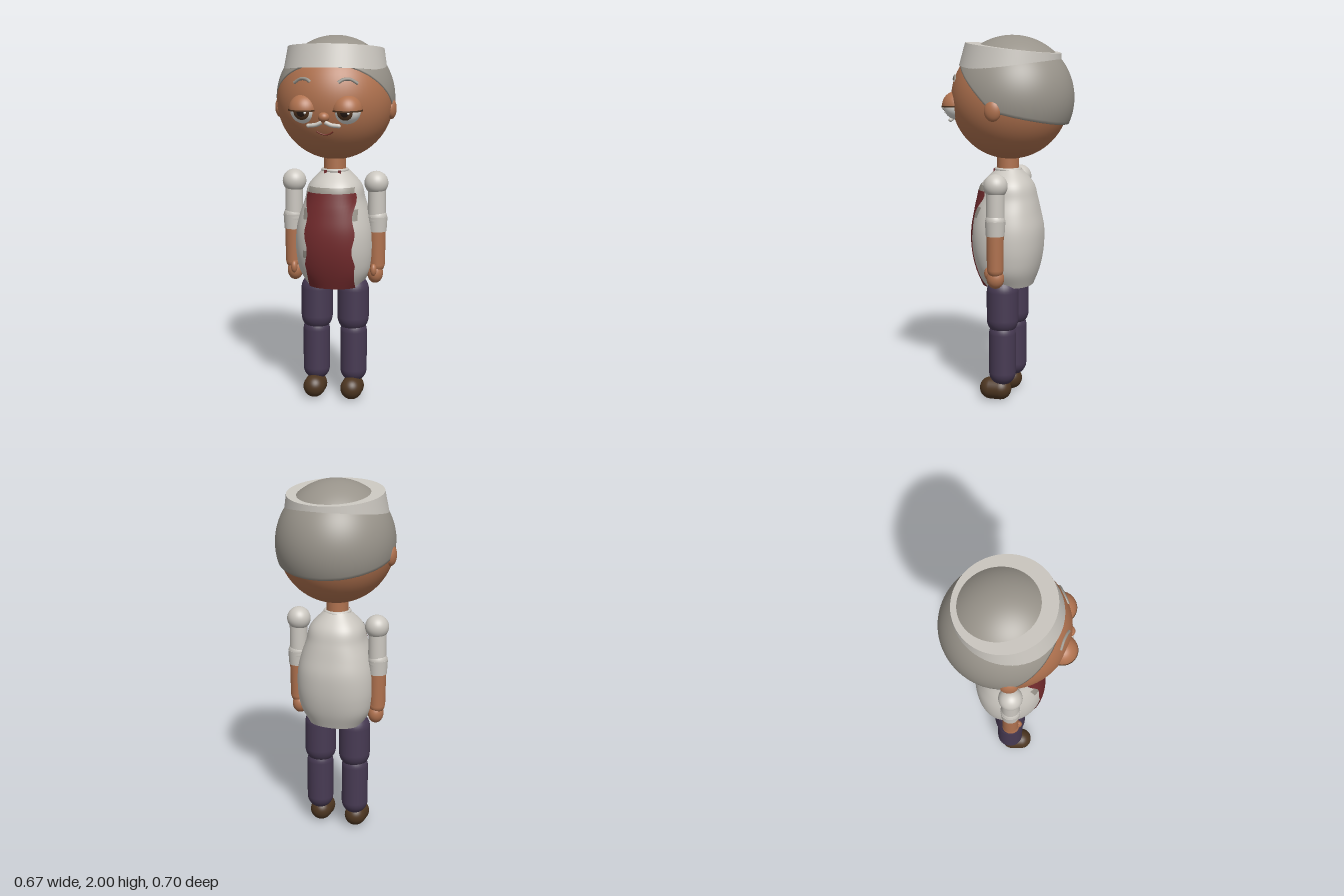
import * as THREE from 'three';
import { mergeVertices } from 'three/addons/utils/BufferGeometryUtils.js';

const mat = (name, color, side = THREE.FrontSide) => {
  const m = new THREE.MeshStandardMaterial({ color, side });
  m.name = name;
  return m;
};

// Smooth surface from a rule f(u, v): u runs to the right, v runs downward
function surface(nu, nv, f) {
  const pos = [], idx = [];
  for (let j = 0; j <= nv; j++)
    for (let i = 0; i <= nu; i++) pos.push(...f(i / nu, j / nv));
  for (let j = 0; j < nv; j++)
    for (let i = 0; i < nu; i++) {
      const a = j * (nu + 1) + i, b = a + nu + 1;
      idx.push(a, b, a + 1, b, b + 1, a + 1);
    }
  let g = new THREE.BufferGeometry();
  g.setAttribute('position', new THREE.Float32BufferAttribute(pos, 3));
  g.setIndex(idx);
  g = mergeVertices(g, 1e-5);
  g.computeVertexNormals();
  return g;
}

// Torso cross-sections from y 1.28 down to 0.64: half width, front depth, back depth
const torsoRows = new THREE.CatmullRomCurve3([
  [0.07, 0.075, 0.06], [0.142, 0.152, 0.125], [0.163, 0.175, 0.148],
  [0.191, 0.19, 0.165], [0.21, 0.202, 0.18], [0.216, 0.203, 0.181],
  [0.212, 0.193, 0.173], [0.195, 0.172, 0.155], [0.15, 0.142, 0.125],
].map(p => new THREE.Vector3(...p)), false, 'catmullrom');
const torsoAt = y => torsoRows.getPoint((1.28 - y) / 0.64);
const POW = 2.3;

function torsoPoint(u, v) {
  const y = 1.28 - 0.64 * v, s = torsoAt(y), a = (u * 2 - 1) * Math.PI;
  const r = c => Math.sign(c) * Math.abs(c) ** (2 / POW);
  const c = r(Math.cos(a));
  return [s.x * r(Math.sin(a)), y, c * (c > 0 ? s.y : s.z)];
}

// Thin panel that follows the front of the torso
function torsoPatch(y1, y0, left, right, off) {
  return surface(16, 24, (u, v) => {
    const y = y1 + (y0 - y1) * v, s = torsoAt(y);
    const x = left(y) + (right(y) - left(y)) * u;
    const k = Math.max(0, 1 - Math.abs(x / s.x) ** POW);
    return [x, y, s.y * k ** (1 / POW) + off];
  });
}

// Depth of the face at a given x, y
const faceZ = (x, y) =>
  0.32 * Math.sqrt(Math.max(0, 1 - (x / 0.315) ** 2 - ((y - 1.66) / 0.325) ** 2));

// Hair shell, trimmed along a slanted hairline
function hairGeometry() {
  const hairline = z => Math.max(1.6 + z, 1.605 + 0.24 * z);
  const at = (t, a, k) => [
    0.32 * k * Math.sin(t) * Math.sin(a),
    1.665 + 0.335 * k * Math.cos(t),
    -0.013 + 0.335 * k * Math.sin(t) * Math.cos(a),
  ];
  const N = 40;
  return surface(96, N, (u, v) => {
    const a = (u * 2 - 1) * Math.PI;
    let end = 0.2;
    for (; end < 2.6; end += 0.004) {
      const p = at(end, a, 1);
      if (p[1] < hairline(p[2])) break;
    }
    const rim = v > 1 - 0.5 / N;
    return at(end * Math.min(1, v * N / (N - 1)), a, rim ? 0.95 : 1);
  });
}

export function createModel() {
  const white = mat('offWhite', 0xcbc7c0);
  const grey = mat('hairGrey', 0x98938a, THREE.DoubleSide);
  const skin = mat('skin', 0xb0724f);
  const red = mat('apronRed', 0x732b2d, THREE.DoubleSide);
  const purple = mat('trouserPurple', 0x473a53);
  const brown = mat('shoeBrown', 0x4d3621);
  const eyeWhite = mat('eyeWhite', 0xdddcd8);
  const iris = mat('irisBrown', 0x50341f);
  const dark = mat('pupilDark', 0x241812);
  const lip = mat('lipRed', 0x7a3328);

  const model = new THREE.Group();
  const add = (name, geo, m, x = 0, y = 0, z = 0, parent = model) => {
    const mesh = new THREE.Mesh(geo, m);
    mesh.name = name;
    mesh.position.set(x, y, z);
    parent.add(mesh);
    return mesh;
  };
  const ball = (r, sx = 1, sy = 1, sz = 1) =>
    new THREE.SphereGeometry(r, 32, 24).scale(sx, sy, sz);
  const tube = (pts, r) => new THREE.TubeGeometry(
    new THREE.CatmullRomCurve3(pts.map(p => new THREE.Vector3(...p))), 20, r, 8);
  const capsule = (r, y0, y1) =>
    new THREE.CapsuleGeometry(r, y1 - y0 - 2 * r, 10, 32).translate(0, (y0 + y1) / 2, 0);

  // Head, hair and tilted cap
  add('head', new THREE.SphereGeometry(1, 64, 48).scale(0.315, 0.325, 0.32), skin, 0, 1.66, 0);
  add('hair', hairGeometry(), grey);
  const cap = add('cap', new THREE.CylinderGeometry(0.26, 0.28, 0.125, 64), white, 0, 1.87, -0.01);
  cap.rotation.x = -0.115;
  add('nose', ball(0.03, 1, 0.9, 1), skin, 0, 1.587, 0.308);
  add('mouth', tube([-0.045, -0.025, 0, 0.025, 0.045].map(x => {
    const y = 1.493 + 9 * x * x;
    return [x, y, faceZ(x, y)];
  }), 0.004), lip);

  // Neck, collar, torso
  add('neck', new THREE.CylinderGeometry(0.06, 0.06, 0.12, 32), skin, 0, 1.31, 0.012);
  add('collar', new THREE.TorusGeometry(0.066, 0.01, 10, 40).rotateX(Math.PI / 2), white, 0, 1.277, 0.012);
  add('shirt', surface(72, 48, torsoPoint), white);
  add('shirtTop', new THREE.CircleGeometry(0.07, 32).rotateX(-Math.PI / 2), white, 0, 1.279, 0.006);
  const hem = new THREE.Shape(Array.from({ length: 48 }, (_, i) => {
    const p = torsoPoint(i / 48, 1);
    return new THREE.Vector2(p[0], p[2]);
  }));
  add('shirtUnderside', new THREE.ShapeGeometry(hem).rotateX(Math.PI / 2), white, 0, 0.641, 0);

  // Apron with worn grey border
  const edge = y => 0.13 + 0.008 * Math.cos((y - 1.13) * 34) * (y > 0.75 ? 1 : 0.3);
  add('apron', torsoPatch(1.165, 0.638, y => -edge(y), edge, 0.006), red);
  add('apronTopBorder', torsoPatch(1.195, 1.163, () => -0.125, () => 0.125, 0.004), grey);
  for (const [s, y1, y0] of [[-1, 1.08, 1.02], [1, 1.08, 1.02], [-1, 0.85, 0.81]]) {
    const inner = () => s * 0.12, outer = () => s * 0.148;
    add('apronSideBorder', torsoPatch(y1, y0, s < 0 ? outer : inner, s < 0 ? inner : outer, 0.004), grey);
  }

  for (const s of [-1, 1]) {
    const side = new THREE.Group();
    side.name = s > 0 ? 'leftSide' : 'rightSide';
    model.add(side);
    const put = (name, geo, m, x, y, z) => add(name, geo, m, s * x, y, z, side);

    // Ear, brow, moustache, apron tie
    put('ear', ball(1, 0.028, 0.056, 0.046), skin, 0.305, 1.612, 0.003);
    put('eyebrow', tube([[0.072, 1.763], [0.095, 1.778], [0.13, 1.78], [0.168, 1.758]]
      .map(([x, y]) => [s * x, y, faceZ(x, y)]), 0.009), grey, 0, 0, 0);
    put('moustache', tube([[s * 0.008, 1.562, 0.318], [s * 0.04, 1.548, 0.318], [s * 0.08, 1.543, 0.315]], 0.011),
      white, 0, 0, 0);
    put('moustacheTip', ball(0.011), white, 0.08, 1.543, 0.315);
    put('apronTie', new THREE.BoxGeometry(0.016, 0.022, 0.008), red, 0.038, 1.27, 0.078);

    // Eye with heavy upper lid
    const eye = new THREE.Group();
    eye.name = 'eye';
    eye.position.set(s * 0.114, 1.622, 0.265);
    side.add(eye);
    const disc = (r, t) => new THREE.SphereGeometry(r, 32, 8, 0, Math.PI * 2, 0, t).rotateX(Math.PI / 2);
    add('eyeball', ball(0.073), eyeWhite, 0, 0, 0, eye);
    add('iris', disc(0.0745, 0.58), iris, 0, 0, 0, eye).rotation.x = 0.15;
    add('pupil', disc(0.0755, 0.3), dark, 0, 0, 0, eye).rotation.x = 0.15;
    add('eyeGlint', ball(0.007), eyeWhite, 0.02, -0.012, 0.072, eye);
    const lid = new THREE.Group();
    lid.name = 'upperLid';
    lid.rotation.x = 0.04;
    eye.add(lid);
    add('lidDome', new THREE.SphereGeometry(0.081, 40, 16, 0, Math.PI * 2, 0, Math.PI / 2), skin, 0, 0, 0, lid);
    add('lidEdge', new THREE.CylinderGeometry(0.083, 0.083, 0.008, 40), iris, 0, 0, 0, lid);

    // Arm
    put('shoulder', ball(0.065), white, 0.228, 1.21, 0.012);
    put('upperSleeve', new THREE.CylinderGeometry(0.048, 0.05, 0.22, 32), white, 0.231, 1.1, 0.012);
    put('sleeveRoll', capsule(0.054, 0.955, 1.075), white, 0.234, 0, 0.012);
    put('sleeveCuff', new THREE.CylinderGeometry(0.055, 0.05, 0.08, 32), white, 0.235, 0.985, 0.012);
    put('forearm', new THREE.CylinderGeometry(0.047, 0.044, 0.2, 32), skin, 0.234, 0.86, 0.013);
    put('wrist', ball(0.044), skin, 0.232, 0.76, 0.013);
    put('hand', ball(1, 0.043, 0.055, 0.048), skin, 0.225, 0.71, 0.015);
    put('thumb', ball(1, 0.018, 0.034, 0.022), skin, 0.222, 0.735, 0.056);

    // Leg and shoe
    put('thigh', capsule(0.087, 0.372, 0.7), purple, 0.102, 0, 0.013);
    put('shin', capsule(0.074, 0.085, 0.45), purple, 0.105, 0, 0.013);
    put('shoe', new THREE.CapsuleGeometry(0.061, 0.055, 12, 32).rotateX(Math.PI / 2), brown, 0.105, 0.061, 0.053);
  }
  return model;
}
